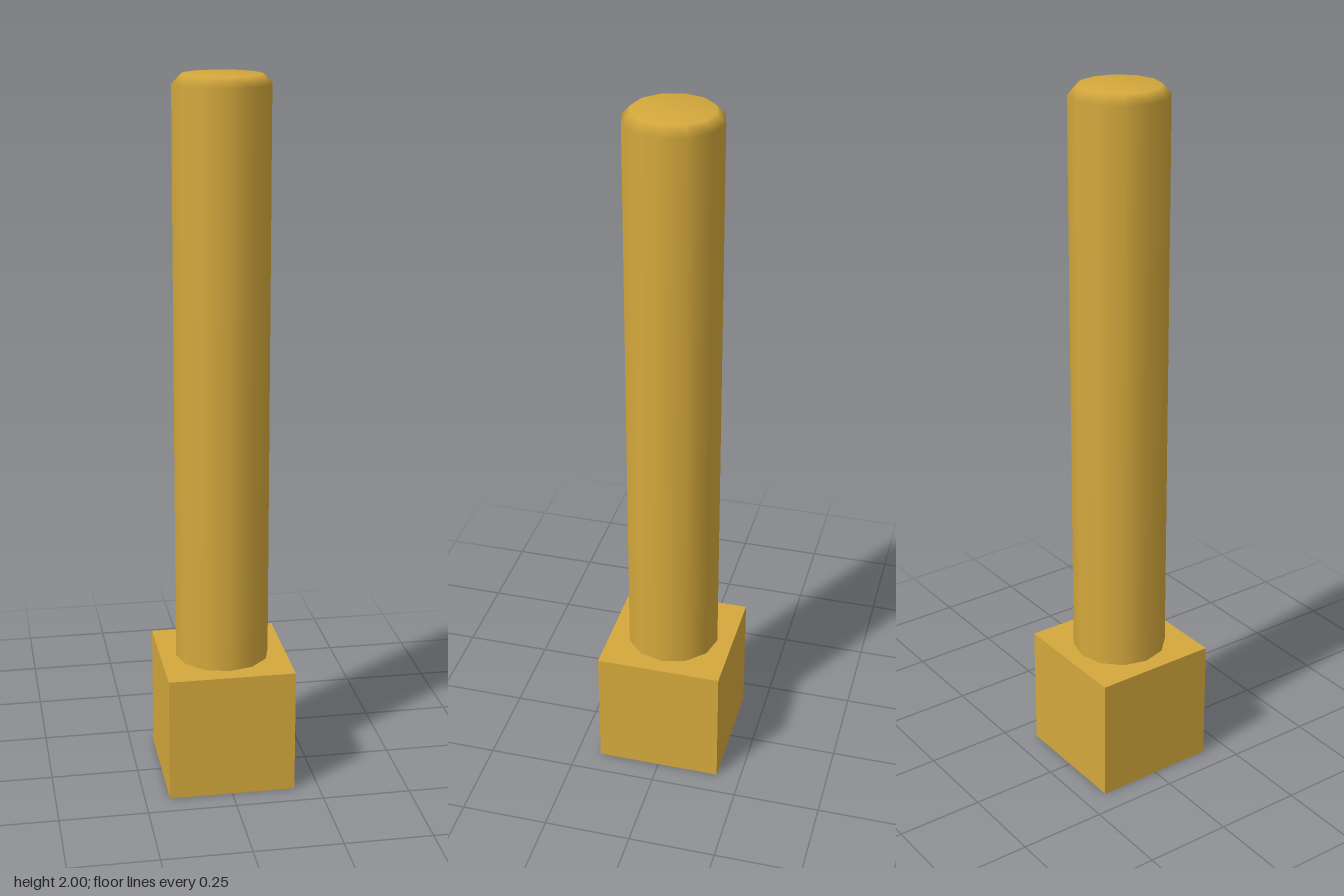
import * as THREE from 'three';

export function createModel() {
  const group = new THREE.Group();
  const gold = new THREE.MeshStandardMaterial({ color: 0xd4a83c });

  // Square block at the foot
  const size = 0.36;
  const base = new THREE.Mesh(new THREE.BoxGeometry(size, size, size), gold);
  base.name = 'baseBlock';
  base.position.y = size / 2;
  group.add(base);

  // Twelve-sided shaft with a small softened bevel at the tip
  const profile = [
    [0.134, size],
    [0.134, 1.975],
    [0.11, 2],
    [0, 2],
  ].map(([r, y]) => new THREE.Vector2(r, y));
  const shaft = new THREE.Mesh(new THREE.LatheGeometry(profile, 12), gold);
  shaft.name = 'shaft';
  group.add(shaft);

  return group;
}
